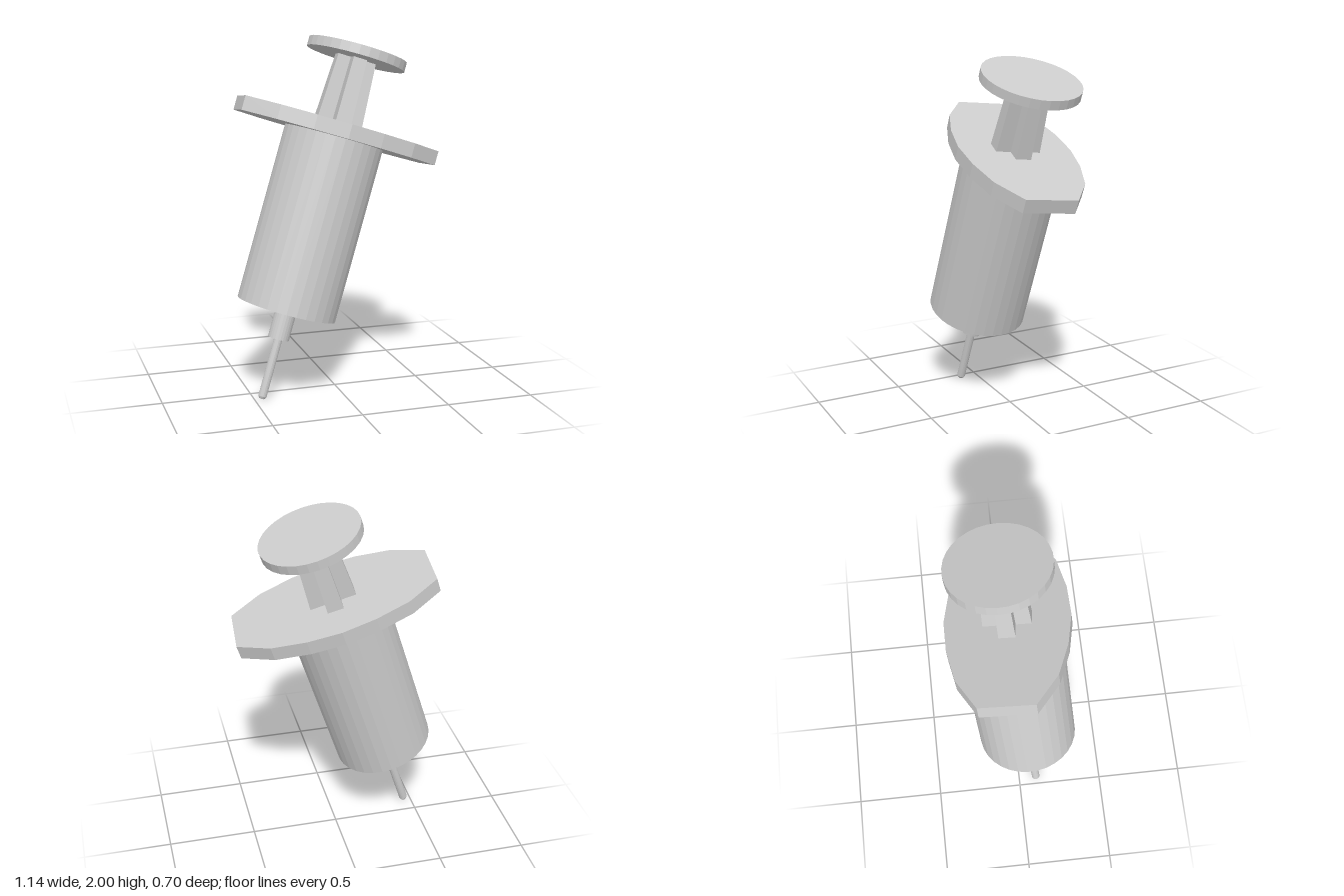
import * as THREE from 'three';

const material = new THREE.MeshStandardMaterial({ color: 0xcccccc, flatShading: true });

export function createModel() {
  const model = new THREE.Group();
  model.name = 'syringe';

  const add = (name, geometry, y) => {
    const mesh = new THREE.Mesh(geometry, material);
    mesh.name = name;
    mesh.position.y = y;
    model.add(mesh);
  };

  // Round part spanning y0..y1 along the syringe axis
  const round = (name, y0, y1, rBottom, rTop, sides) =>
    add(name, new THREE.CylinderGeometry(rTop, rBottom, y1 - y0, sides), (y0 + y1) / 2);

  // Flat outline raised along the syringe axis from y = 0
  const prism = (points, height) => {
    const shape = new THREE.Shape(points.map(([x, y]) => new THREE.Vector2(x, y)));
    return new THREE.ExtrudeGeometry(shape, { depth: height, bevelEnabled: false }).rotateX(-Math.PI / 2);
  };

  // Needle with a small chamfered tip
  const needle = [[0, 0], [0.016, 0], [0.024, 0.014], [0.024, 0.36], [0, 0.36]];
  add('needle', new THREE.LatheGeometry(needle.map(([r, y]) => new THREE.Vector2(r, y)), 16), 0);

  // Needle hub and barrel
  round('needleHub', 0.349, 0.53, 0.06, 0.06, 24);
  round('barrel', 0.519, 1.52, 0.281, 0.281, 32);

  // Finger flange: long faceted oval with blunt ends
  const side = [[0.56, 0.149], [0.383, 0.263], [0.19, 0.316], [0, 0.336],
    [-0.19, 0.316], [-0.383, 0.263], [-0.56, 0.149]];
  add('fingerFlange', prism([...side, ...side.map(([x, y]) => [-x, -y])], 0.08), 1.51);

  // Plunger rod: cross section with four arms, narrowing towards the thumb plate
  const cross = [];
  for (let i = 0; i < 4; i++) {
    const c = Math.round(Math.cos(i * Math.PI / 2)), s = Math.round(Math.sin(i * Math.PI / 2));
    for (const [x, y] of [[0.13, -0.045], [0.13, 0.045], [0.045, 0.045]]) {
      cross.push([x * c - y * s, x * s + y * c]);
    }
  }
  const rodHeight = 0.39;
  const rod = prism(cross, rodHeight);
  const p = rod.attributes.position;
  for (let i = 0; i < p.count; i++) {
    const k = 1 - 0.16 * p.getY(i) / rodHeight;
    p.setX(i, p.getX(i) * k);
    p.setZ(i, p.getZ(i) * k);
  }
  rod.computeVertexNormals();
  add('plungerRod', rod, 1.58);

  // Thumb plate
  round('thumbPlate', 1.96, 2.013, 0.28, 0.28, 32);

  // Lean the whole syringe, needle tip near the ground
  const axis = new THREE.Vector3(0.3055, 0.949, -0.0795).normalize();
  const across = new THREE.Vector3(0.949, -0.297, 0.105);
  const depth = across.clone().cross(axis).normalize();
  across.crossVectors(axis, depth);
  model.quaternion.setFromRotationMatrix(new THREE.Matrix4().makeBasis(across, axis, depth));
  model.position.set(-0.46, 0.005, 0.105);

  const root = new THREE.Group();
  root.add(model);
  return root;
}
